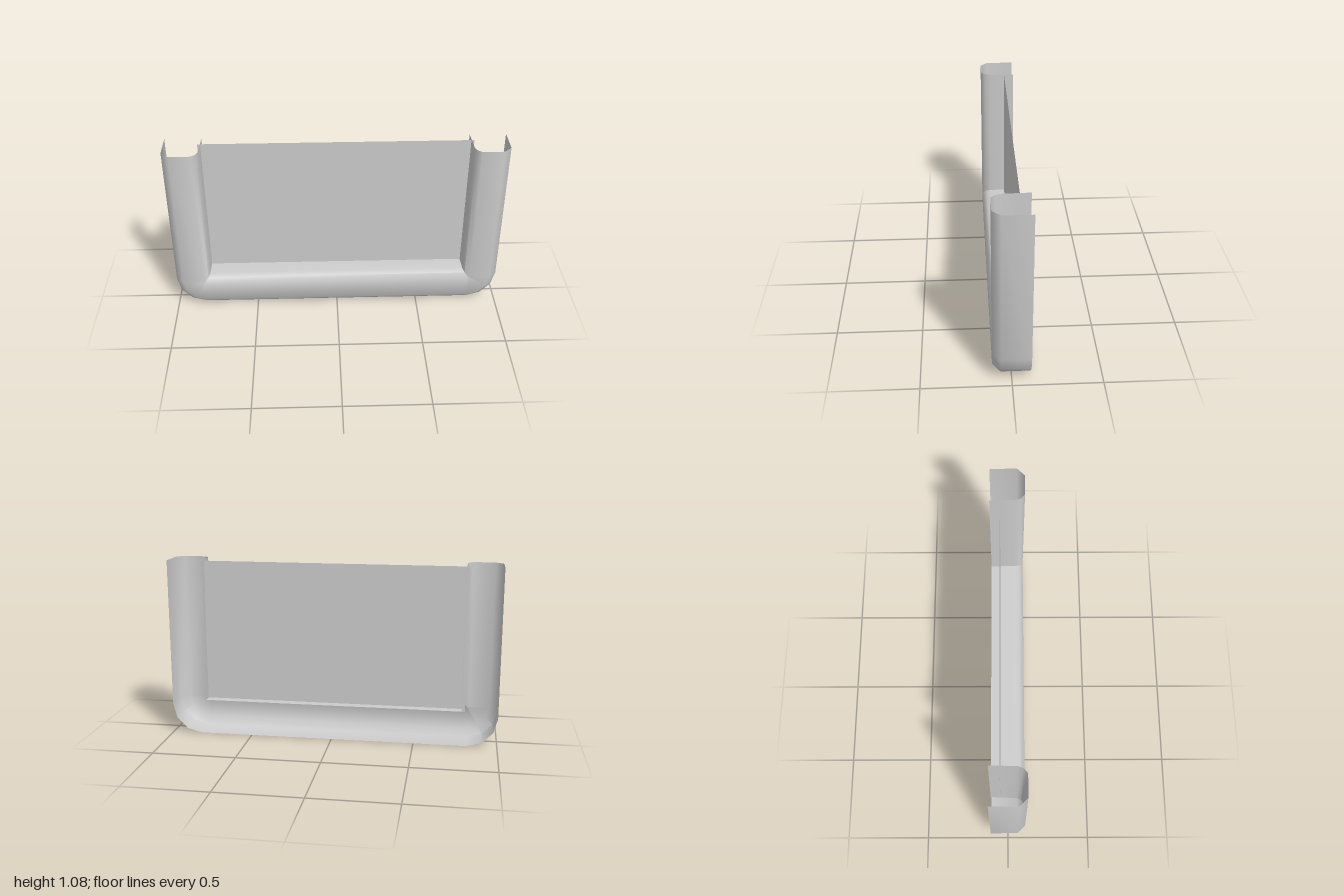
import * as THREE from 'three';
import { toCreasedNormals } from 'three/addons/utils/BufferGeometryUtils.js';

const TOP = 1.08, BACK = -0.105, RADIUS = 0.18, PANEL_Z = -0.045;
const material = new THREE.MeshStandardMaterial({ color: 0xcccccc, side: THREE.DoubleSide });

// U-shaped line, inset from the outer edge; the corner radius shrinks to a sharp corner.
function uLine(inset) {
  const r = Math.max(RADIUS - inset, 0);
  const cx = 1 - inset - r, cy = inset + r;
  const half = [[1 - inset, TOP]];
  for (let i = 0; i <= 3; i++) {
    const a = (i / 3) * Math.PI / 2;
    half.push([cx + r * Math.cos(a), cy - r * Math.sin(a)]);
  }
  return [...half, ...half.slice().reverse().map(([x, y]) => [-x, y])];
}

// Open shell lofted across the U through a profile of [inset, z] pairs.
function loftU(profile) {
  const positions = [], index = [];
  const n = uLine(0).length;
  for (const [inset, z] of profile) {
    for (const [x, y] of uLine(inset)) positions.push(x, y, z);
  }
  const at = (i) => new THREE.Vector3().fromArray(positions, i * 3);
  const addTriangle = (a, b, c) => {
    const area = at(b).sub(at(a)).cross(at(c).sub(at(a))).length();
    if (area > 1e-8) index.push(a, b, c);
  };
  for (let r = 0; r < profile.length - 1; r++) {
    for (let s = 0; s < n - 1; s++) {
      const a = r * n + s, b = a + n;
      addTriangle(a, b, a + 1);
      addTriangle(b, b + 1, a + 1);
    }
  }
  const geometry = new THREE.BufferGeometry();
  geometry.setAttribute('position', new THREE.Float32BufferAttribute(positions, 3));
  geometry.setIndex(index);
  return toCreasedNormals(geometry, THREE.MathUtils.degToRad(50));
}

export function createModel() {
  const group = new THREE.Group();
  const add = (name, geometry) => {
    const mesh = new THREE.Mesh(geometry, material);
    mesh.name = name;
    group.add(mesh);
    return mesh;
  };

  // Hollow frame, open at the back and top, with softened front edges
  add('frameShell', loftU([
    [0, BACK], [0, 0.06], [0.045, 0.105],
    [0.172, 0.105], [0.2, 0.082], [0.21, 0.05], [0.213, PANEL_Z],
  ]));

  // Thin lip around the back of the panel
  add('panelLip', loftU([[0.213, PANEL_Z], [0.215, BACK]]));

  // Recessed panel, its rim tucked into the frame
  const bottom = 0.195, panelTop = 1.075;
  const panel = add('panel', new THREE.PlaneGeometry(1.61, panelTop - bottom));
  panel.position.set(0, (panelTop + bottom) / 2, PANEL_Z);

  return group;
}
